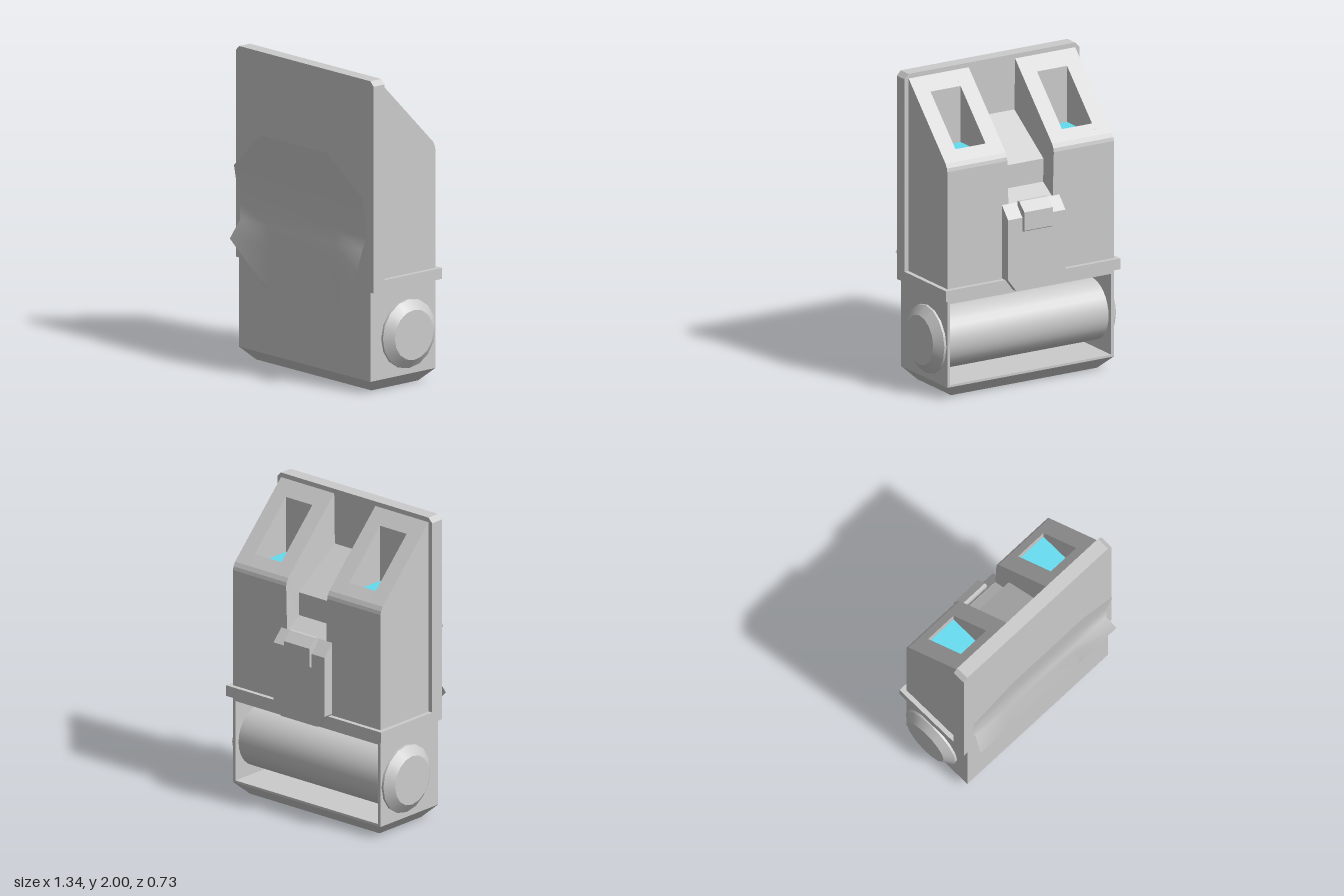
import * as THREE from 'three';

const grey = new THREE.MeshStandardMaterial({ color: 0xcccccc });
const thin = new THREE.MeshStandardMaterial({ color: 0xcccccc, side: THREE.DoubleSide });
const cyan = new THREE.MeshStandardMaterial({ color: 0x62dcf0 });

function add(parent, name, geometry, material = grey) {
  const mesh = new THREE.Mesh(geometry, material);
  mesh.name = name;
  parent.add(mesh);
  return mesh;
}

// Box given by its limits on each axis
function box(x0, x1, y0, y1, z0, z1) {
  return new THREE.BoxGeometry(x1 - x0, y1 - y0, z1 - z0)
    .translate((x0 + x1) / 2, (y0 + y1) / 2, (z0 + z1) / 2);
}

// Side profile of [z, y] points, extruded from x0 to x1
function extrudeX(points, x0, x1) {
  const shape = new THREE.Shape(points.map(([z, y]) => new THREE.Vector2(-z, y)));
  return new THREE.ExtrudeGeometry(shape, { depth: x1 - x0, bevelEnabled: false })
    .rotateY(Math.PI / 2).translate(x0, 0, 0);
}

// Front outline of [x, y] points, extruded from z0 to z1
function extrudeZ(points, z0, z1) {
  const shape = new THREE.Shape(points.map(([x, y]) => new THREE.Vector2(x, y)));
  return new THREE.ExtrudeGeometry(shape, { depth: z1 - z0, bevelEnabled: false })
    .translate(0, 0, z0);
}

// Move every vertex by a rule, then refresh the normals
function reshape(geometry, rule) {
  const pos = geometry.attributes.position;
  const v = new THREE.Vector3();
  for (let i = 0; i < pos.count; i++) {
    v.fromBufferAttribute(pos, i);
    rule(v);
    pos.setXYZ(i, v.x, v.y, v.z);
  }
  geometry.computeVertexNormals();
  return geometry;
}

// Folded shield: rows of [y, half width, z in the middle, z at the edge]
function shieldGeometry() {
  const rows = [
    [1.5, 0.31, 0.36, 0.36], [1.25, 0.6, 0.322, 0.322], [1.0, 0.59, 0.285, 0.285],
    [0.91, 0.565, 0.3, 0.3], [0.79, 0.59, 0.3, 0.365], [0.52, 0.35, 0.3, 0.3],
  ];
  const position = [], index = [];
  rows.forEach(([y, w, zMid, zEdge], r) => {
    position.push(-w, y, zEdge, -0.3, y, zMid, 0.3, y, zMid, w, y, zEdge);
    if (r === 0) return;
    for (let c = 0; c < 3; c++) {
      const a = (r - 1) * 4 + c, b = r * 4 + c;
      index.push(a, b, b + 1, a, b + 1, a + 1);
    }
  });
  const geometry = new THREE.BufferGeometry();
  geometry.setAttribute('position', new THREE.Float32BufferAttribute(position, 3));
  geometry.setIndex(index);
  geometry.computeVertexNormals();
  return geometry;
}

export function createModel() {
  const model = new THREE.Group();
  model.name = 'doubleTowerPack';

  // Lower housing, open at the back
  const housing = new THREE.Group();
  housing.name = 'lowerHousing';
  model.add(housing);
  add(housing, 'housingFront', box(-0.61, 0.61, 0.08, 0.65, 0.21, 0.27));
  add(housing, 'housingFloor', box(-0.59, 0.59, 0.08, 0.095, -0.27, 0.21));
  add(housing, 'housingCeiling', box(-0.59, 0.59, 0.62, 0.65, -0.27, 0.21));
  add(housing, 'chamferedBase', reshape(
    box(-0.61, 0.61, 0, 0.08, -0.27, 0.27).toNonIndexed(),
    (v) => { if (v.y < 0.04) { v.x *= 0.877; v.z *= 0.72; } }));

  // Roller and its bevelled end caps
  add(model, 'roller', new THREE.CylinderGeometry(0.2, 0.2, 1.18, 32)
    .rotateZ(Math.PI / 2).translate(0, 0.34, -0.04));
  for (const side of [-1, 1]) {
    const wall = side * 0.6;
    add(housing, 'housingSide', box(wall - 0.01, wall + 0.01, 0.08, 0.65, -0.27, 0.21));
    const cap = new THREE.Group();
    cap.name = 'endCap';
    cap.position.set(side * 0.61, 0.34, -0.04);
    cap.rotation.z = -side * Math.PI / 2;
    model.add(cap);
    add(cap, 'capRim', new THREE.CylinderGeometry(0.22, 0.22, 0.015, 16).translate(0, 0.0075, 0));
    add(cap, 'capBevel', new THREE.CylinderGeometry(0.16, 0.22, 0.045, 16).translate(0, 0.0375, 0));
  }

  // Ledge and front plate with clipped top corners
  add(model, 'ledge', box(-0.64, 0.64, 0.65, 0.72, -0.3, 0.27));
  add(model, 'frontPlate', extrudeZ([
    [-0.64, 0.65], [0.64, 0.65], [0.64, 1.97], [0.61, 2], [-0.61, 2], [-0.64, 1.97],
  ], 0.18, 0.27));

  // Sloped towers, each with a deep window well between two solid slabs
  const back = [[-0.27, 0.72], [-0.27, 1.48], [-0.265, 1.503], [-0.25, 1.53]];
  const solid = [[0.18, 0.72], ...back, [0.18, 1.97]];
  const notched = [
    [0.18, 0.72], ...back, [-0.19, 1.591], [-0.19, 1.52], [0.1, 1.52], [0.1, 1.888], [0.18, 1.97],
  ];
  for (const side of [-1, 1]) {
    const tower = new THREE.Group();
    tower.name = side > 0 ? 'leftTower' : 'rightTower';
    model.add(tower);
    const slab = (name, profile, a, b) => add(tower, name,
      extrudeX(profile, side > 0 ? a : -b, side > 0 ? b : -a));
    slab('outerSlab', solid, 0.5, 0.61);
    slab('windowWell', notched, 0.28, 0.5);
    // The inner wall leans outward towards the top
    reshape(slab('innerSlab', solid, 0.17, 0.28).geometry, (v) => {
      if (Math.abs(v.x) < 0.2 && v.y < 1) v.x = side * 0.15;
    });
    const x = side * 0.39;
    add(tower, 'window', box(x - 0.11, x + 0.11, 1.515, 1.524, -0.19, 0.1), cyan);
  }

  // Stepped block between the towers
  add(model, 'centreBlock', extrudeX([
    [0.18, 0.72], [-0.27, 0.72], [-0.27, 1.19], [-0.155, 1.26], [-0.155, 1.41], [0.18, 1.64],
  ], -0.17, 0.17));

  // Latch on the back with a sloping top, and its clip
  add(model, 'latch', reshape(extrudeZ([
    [-0.15, 0.65], [0.15, 0.65], [0.21, 0.73], [0.21, 1.2], [-0.21, 1.2], [-0.21, 0.73],
  ], -0.342, -0.27), (v) => { if (v.y > 1 && v.z < -0.3) v.y = 1.12; }));
  add(model, 'latchClip', extrudeX([
    [-0.285, 1.03], [-0.345, 1.03], [-0.364, 1.04], [-0.364, 1.16], [-0.305, 1.215], [-0.285, 1.215],
  ], -0.105, 0.105));

  add(model, 'frontShield', shieldGeometry(), thin);
  return model;
}
